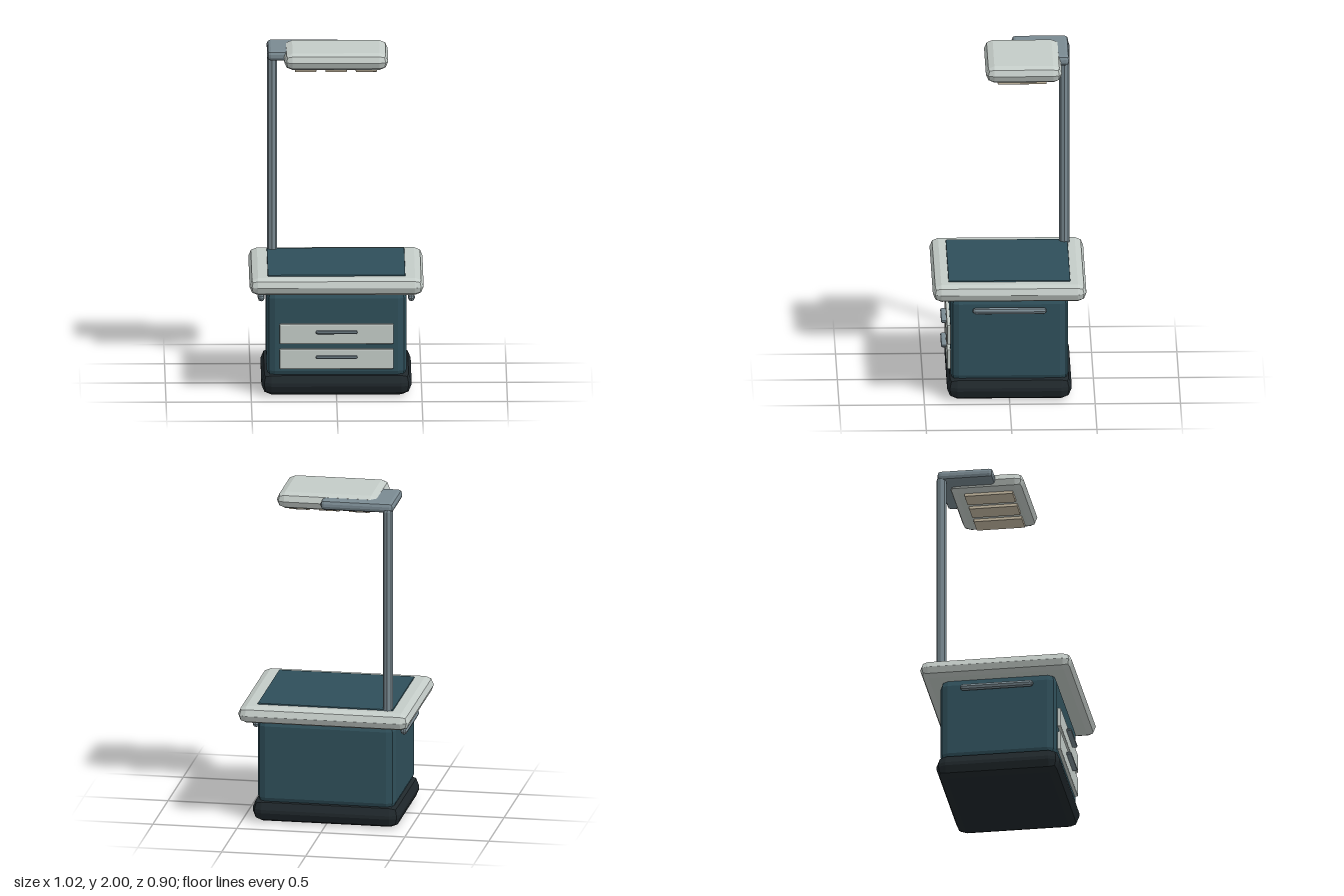
import * as THREE from 'three';
import { RoundedBoxGeometry } from 'three/addons/geometries/RoundedBoxGeometry.js';

const paint = (color) => new THREE.MeshStandardMaterial({ color, flatShading: true });

export function createModel() {
  const model = new THREE.Group();
  const pale = paint(0xc4ccc8);
  const teal = paint(0x2f4f5a);
  const steel = paint(0x7a8a92);
  const dark = paint(0x20282c);
  const glow = paint(0xc8bca4);

  // Box given by its [min, max] ranges, with chamfer-like rounded edges (r = 0 keeps it sharp)
  function slab(name, material, [x0, x1], [y0, y1], [z0, z1], r = 0) {
    const size = [x1 - x0, y1 - y0, z1 - z0];
    const geometry = r > 0
      ? new RoundedBoxGeometry(...size, 1, r)
      : new THREE.BoxGeometry(...size);
    const mesh = new THREE.Mesh(geometry, material);
    mesh.name = name;
    mesh.position.set((x0 + x1) / 2, (y0 + y1) / 2, (z0 + z1) / 2);
    model.add(mesh);
    return mesh;
  }

  // Cabinet
  slab('base', dark, [-0.44, 0.44], [0, 0.14], [-0.365, 0.365], 0.06);
  slab('cabinetBody', teal, [-0.41, 0.41], [0.1, 0.635], [-0.345, 0.345], 0.05);
  slab('worktop', pale, [-0.51, 0.51], [0.62, 0.722], [-0.45, 0.45], 0.05);
  slab('workMat', teal, [-0.403, 0.403], [0.71, 0.73], [-0.357, 0.357], 0.005);

  // Two drawers with bar handles
  for (const y of [0.225, 0.375]) {
    slab('drawerFront', pale, [-0.335, 0.335], [y - 0.06, y + 0.06], [0.335, 0.365], 0.008);
    slab('drawerHandle', steel, [-0.122, 0.122], [y + 0.005, y + 0.025], [0.36, 0.395], 0.01);
  }

  // Side rails
  for (const side of [-1, 1]) {
    const x = side * 0.44;
    slab('sideRail', steel, [x - 0.02, x + 0.02], [0.535, 0.575], [-0.218, 0.218], 0.02);
  }

  // Lamp post, bracket and head
  slab('lampPost', steel, [-0.4, -0.342], [0.68, 1.96], [-0.368, -0.308], 0.029);
  slab('lampBracket', steel, [-0.403, 0.03], [1.925, 1.985], [-0.36, -0.03], 0.022);
  slab('lampHead', pale, [-0.305, 0.305], [1.9, 2], [-0.31, 0.135], 0.05);
  for (const x of [-0.178, 0, 0.178]) {
    slab('lightPanel', glow, [x - 0.063, x + 0.063], [1.882, 1.905], [-0.222, 0.065], 0.005);
  }

  return model;
}
